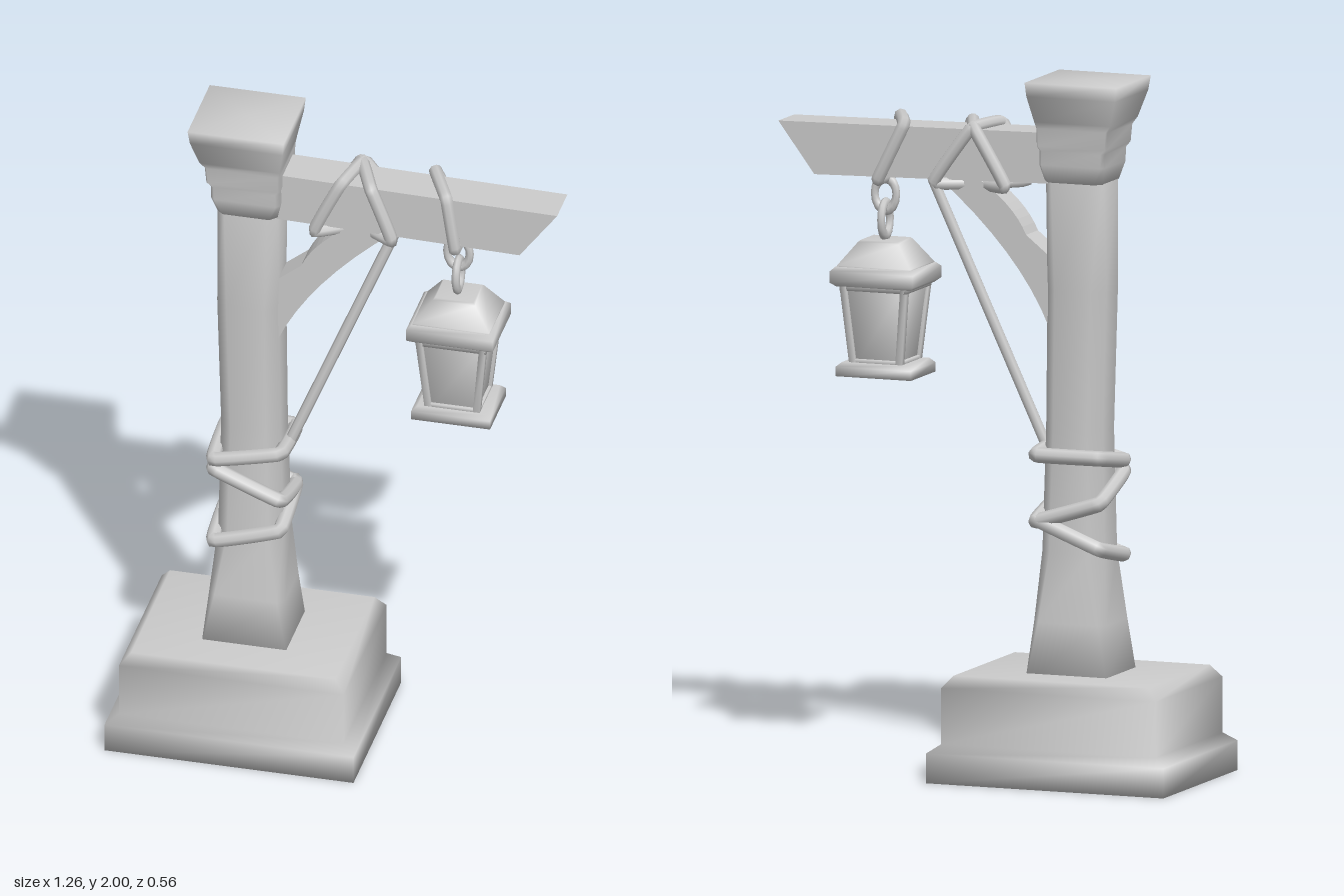
import * as THREE from 'three';
import { mergeVertices } from 'three/addons/utils/BufferGeometryUtils.js';

const mat = new THREE.MeshStandardMaterial({ color: 0xcccccc });

function add(parent, name, geometry) {
  const mesh = new THREE.Mesh(geometry, mat);
  mesh.name = name;
  parent.add(mesh);
  return mesh;
}

// Stacked rectangles [y, centreX, halfX, halfZ, chamfer, centreZ], smooth shaded
function loft(sections) {
  const pos = [], idx = [], n = 8;
  for (const [y, cx, hx, hz, c = 0, cz = 0] of sections) {
    for (const [sx, sz] of [[1, 1], [1, -1], [-1, -1], [-1, 1]]) {
      const pts = [[hx - c, hz], [hx, hz - c]];
      if (sx * sz < 0) pts.reverse();
      for (const [px, pz] of pts) pos.push(cx + sx * px, y, cz + sz * pz);
    }
  }
  for (let s = 0; s < sections.length - 1; s++) {
    for (let i = 0; i < n; i++) {
      const a = s * n + i, b = s * n + (i + 1) % n;
      idx.push(a, b, b + n, a, b + n, a + n);
    }
  }
  // End caps
  const last = sections.length - 1;
  for (const s of [0, last]) {
    const [y, cx, , , , cz = 0] = sections[s];
    const centre = pos.length / 3;
    pos.push(cx, y, cz);
    for (let i = 0; i < n; i++) {
      const a = s * n + i, b = s * n + (i + 1) % n;
      idx.push(centre, ...(s === last ? [a, b] : [b, a]));
    }
  }
  let g = new THREE.BufferGeometry();
  g.setAttribute('position', new THREE.Float32BufferAttribute(pos, 3));
  g.setIndex(idx);
  g = mergeVertices(g, 1e-4);
  g.computeVertexNormals();
  return g;
}

// Closed rope with tight corners
function rope(points, radius) {
  const curve = new THREE.CatmullRomCurve3(
    points.map(p => new THREE.Vector3(...p)), true, 'catmullrom', 0.1);
  return new THREE.TubeGeometry(curve, 64, radius, 8, true);
}

function extrude(shape, depth, z) {
  const g = new THREE.ExtrudeGeometry(shape, { depth, bevelEnabled: false, curveSegments: 8 });
  return g.translate(0, 0, z);
}

export function createModel() {
  const model = new THREE.Group();
  model.name = 'lanternPost';

  // Stone plinth
  add(model, 'plinth', loft([
    [0, -0.272, 0.363, 0.278], [0.085, -0.272, 0.363, 0.278],
    [0.11, -0.272, 0.328, 0.25], [0.27, -0.272, 0.328, 0.25],
    [0.305, -0.272, 0.298, 0.228],
  ]));

  // Post, flared at the foot and chamfered above
  add(model, 'post', loft([
    [0.28, -0.27, 0.125, 0.112], [0.45, -0.269, 0.111, 0.097, 0.02],
    [0.65, -0.266, 0.095, 0.082, 0.035], [1.0, -0.267, 0.087, 0.076, 0.035],
    [1.4, -0.275, 0.09, 0.078, 0.035], [1.74, -0.273, 0.088, 0.08, 0.025],
  ]));

  // Ringed capital
  add(model, 'capital', loft([
    [1.71, -0.273, 0.088, 0.08, 0.02], [1.76, -0.274, 0.1, 0.088, 0.01],
    [1.8, -0.275, 0.1, 0.089, 0.01], [1.815, -0.278, 0.107, 0.094, 0.005],
    [1.865, -0.28, 0.109, 0.097, 0.005], [1.885, -0.285, 0.116, 0.104],
    [1.96, -0.289, 0.135, 0.126], [2.0, -0.29, 0.14, 0.13],
  ]));

  // Beam with a slanted end
  const beam = new THREE.Shape([
    [-0.25, 1.705], [0.52, 1.688], [0.63, 1.835], [-0.25, 1.85],
  ].map(p => new THREE.Vector2(...p)));
  add(model, 'beam', extrude(beam, 0.12, -0.063));

  // Curved brace under the beam
  const brace = new THREE.Shape();
  brace.moveTo(-0.22, 1.25);
  brace.lineTo(-0.19, 1.29);
  brace.quadraticCurveTo(-0.1, 1.5, 0.15, 1.7);
  brace.lineTo(0.04, 1.71);
  brace.quadraticCurveTo(-0.08, 1.64, -0.12, 1.55);
  brace.lineTo(-0.22, 1.47);
  brace.closePath();
  add(model, 'brace', extrude(brace, 0.09, -0.045));

  // Ropes round the post: heights at front-left, front-right, back-right, back-left of the view
  const corners = [[-0.363, 0.094], [-0.17, 0.094], [-0.17, -0.094], [-0.363, -0.094]];
  for (const heights of [[0.63, 0.69, 0.745, 0.67], [0.87, 0.79, 0.74, 0.8], [0.9, 0.945, 0.93, 0.93]]) {
    add(model, 'postRope', rope(corners.map(([x, z], i) => [x, heights[i], z]), 0.022));
  }

  // Ropes round the beam: x at front-bottom, front-top, back-top, back-bottom
  const ring = [[1.688, 0.07], [1.85, 0.07], [1.85, -0.078], [1.688, -0.078]];
  for (const xs of [[-0.075, 0, 0.035, 0.15], [0.15, 0.09, 0.025, -0.07], [0.335, 0.31, 0.24, 0.32]]) {
    add(model, 'beamRope', rope(ring.map(([y, z], i) => [xs[i], y, z]), 0.019));
  }

  // Taut diagonal rope
  const taut = new THREE.LineCurve3(
    new THREE.Vector3(-0.165, 0.93, 0.01), new THREE.Vector3(0.155, 1.7, -0.072));
  add(model, 'tautRope', new THREE.TubeGeometry(taut, 1, 0.016, 8));

  // Two chain links at right angles
  for (const [y, turn] of [[1.635, 0], [1.562, Math.PI / 2]]) {
    const link = add(model, 'chainLink', new THREE.TorusGeometry(0.033, 0.012, 8, 16));
    link.scale.y = 1.4;
    link.rotation.y = turn;
    link.position.set(0.328, y, 0);
  }

  // Lantern
  const lantern = new THREE.Group();
  lantern.name = 'lantern';
  lantern.position.x = 0.328;
  model.add(lantern);

  add(lantern, 'lanternRoof', loft([
    [1.42, 0, 0.115, 0.095], [1.435, 0, 0.112, 0.09],
    [1.5, 0, 0.062, 0.056], [1.506, 0, 0.056, 0.05],
  ]));
  add(lantern, 'lanternEaves', loft([
    [1.375, 0, 0.112, 0.092], [1.387, 0, 0.127, 0.107],
    [1.42, 0, 0.127, 0.107], [1.432, 0, 0.115, 0.095],
  ]));
  add(lantern, 'lanternGlass', loft([[1.14, 0, 0.07, 0.066], [1.39, 0, 0.096, 0.086]]));
  add(lantern, 'lanternBase', loft([
    [1.118, 0, 0.115, 0.093], [1.145, 0, 0.115, 0.093], [1.158, 0, 0.1, 0.083],
  ]));

  // Frame: corner bars and rails
  for (const sx of [-1, 1]) {
    for (const sz of [-1, 1]) {
      add(lantern, 'frameBar', loft([
        [1.14, sx * 0.069, 0.01, 0.01, 0, sz * 0.065],
        [1.39, sx * 0.094, 0.01, 0.01, 0, sz * 0.085],
      ]));
    }
  }
  add(lantern, 'lowerRail', loft([[1.15, 0, 0.08, 0.076], [1.168, 0, 0.081, 0.077]]));
  add(lantern, 'upperRail', loft([[1.365, 0, 0.102, 0.093], [1.39, 0, 0.104, 0.095]]));

  return model;
}
